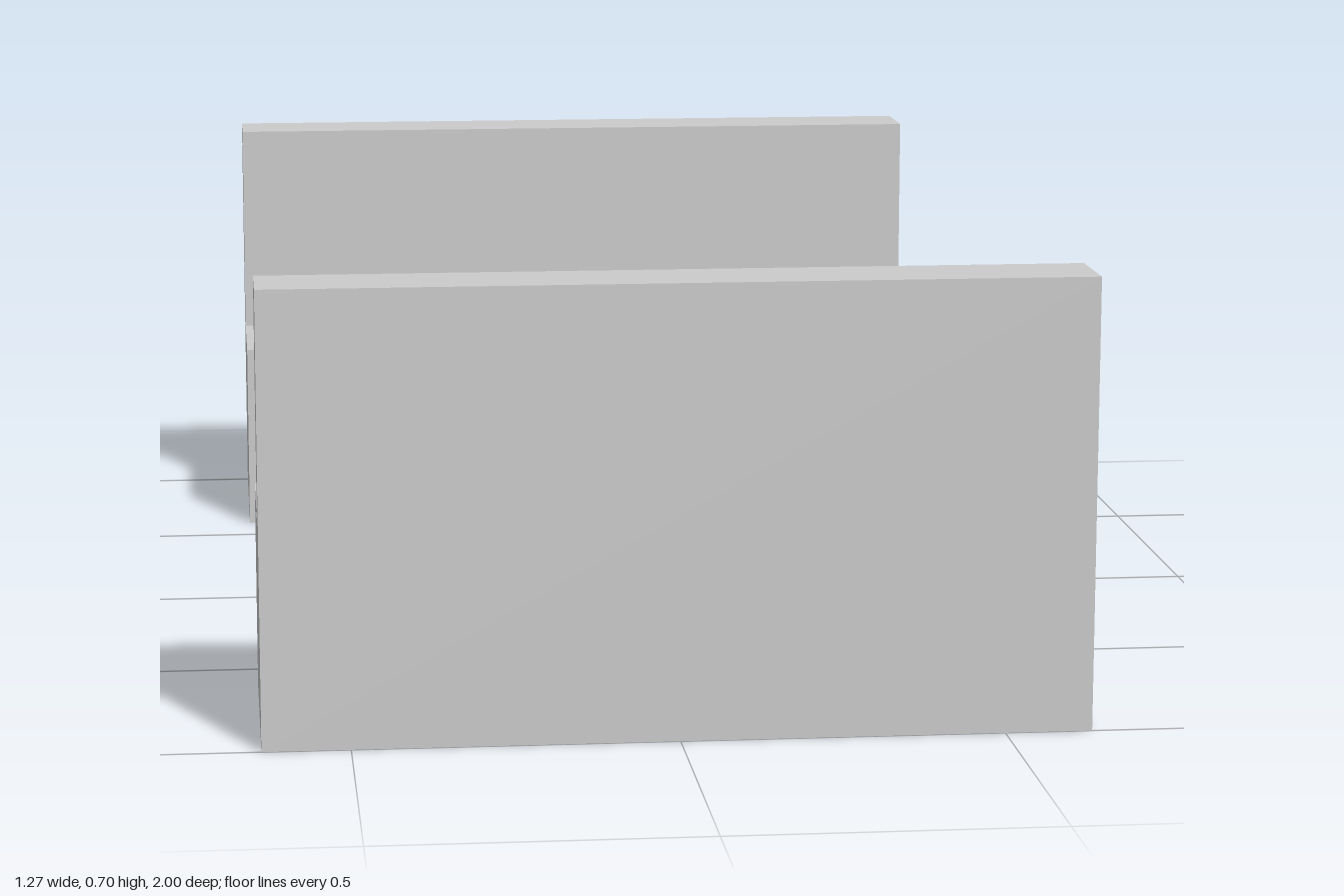
import * as THREE from 'three';

const WIDTH = 1.27, HEIGHT = 0.705, SEAT_HEIGHT = 0.33;
const SEAT_EDGE = 0.6, BACK_FACE = 0.868, OUTER = 1;

// L-shaped bench section (distance from centre, height), extruded along the width
function benchGeometry() {
  const section = new THREE.Shape([
    [SEAT_EDGE, 0], [OUTER, 0], [OUTER, HEIGHT],
    [BACK_FACE, HEIGHT], [BACK_FACE, SEAT_HEIGHT], [SEAT_EDGE, SEAT_HEIGHT],
  ].map(([d, y]) => new THREE.Vector2(d, y)));
  const geometry = new THREE.ExtrudeGeometry(section, { depth: WIDTH, bevelEnabled: false });
  geometry.translate(0, 0, -WIDTH / 2);
  geometry.rotateY(-Math.PI / 2);
  return geometry;
}

export function createModel() {
  const model = new THREE.Group();
  model.name = 'facingBenches';
  const material = new THREE.MeshStandardMaterial({ color: 0xcccccc, flatShading: true });
  const geometry = benchGeometry();

  // Two benches facing each other across the gap
  ['frontBench', 'rearBench'].forEach((name, i) => {
    const bench = new THREE.Mesh(geometry, material);
    bench.name = name;
    bench.rotation.y = i * Math.PI;
    model.add(bench);
  });
  return model;
}
